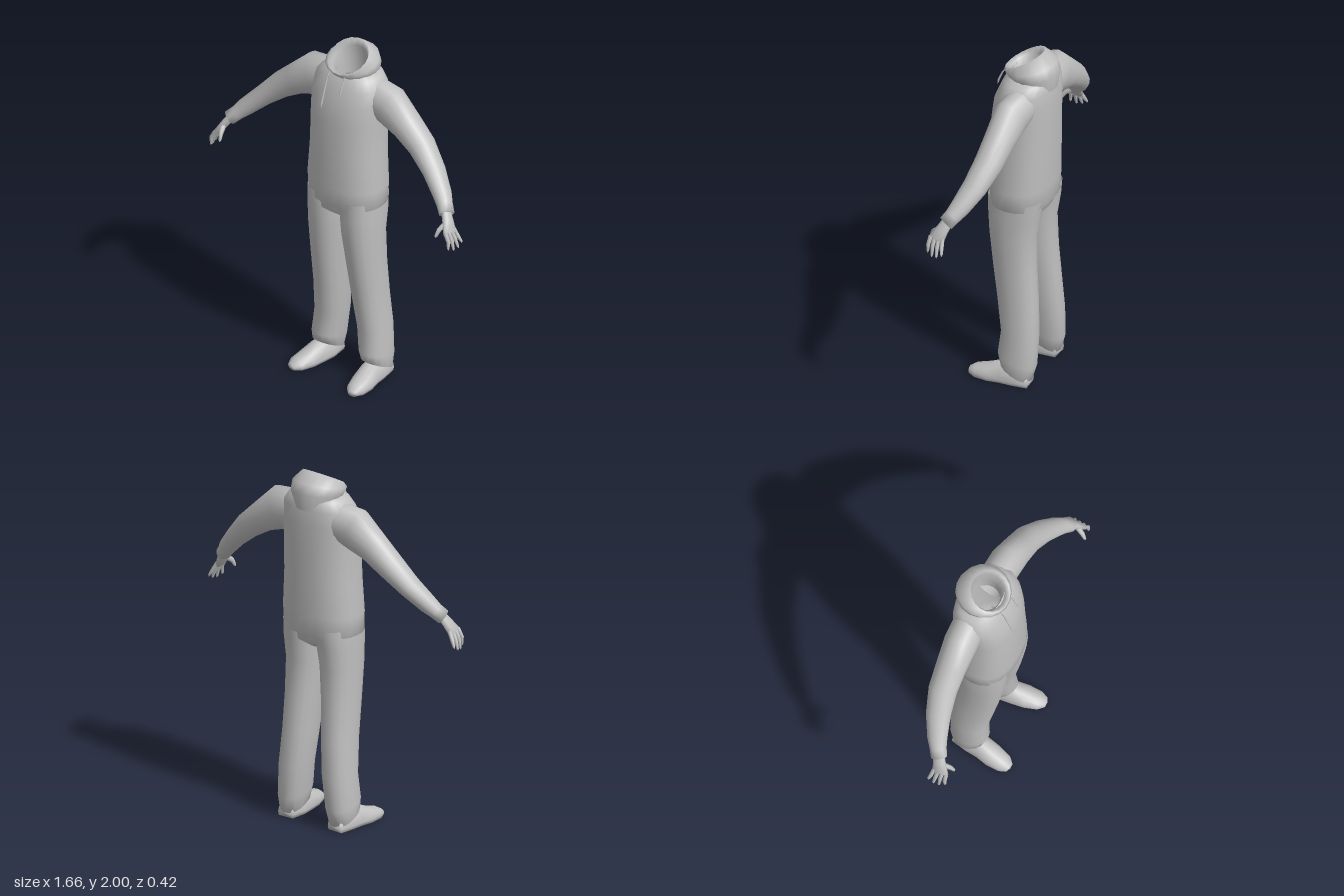
import * as THREE from 'three';

const grey = new THREE.MeshStandardMaterial({ color: 0xbfbfbf, side: THREE.DoubleSide });
grey.name = 'plain grey';

// Smooth skin over rings given as { c: centre, u, v: half-axes }; p < 1 squares the ring.
function loft(name, rings, n = 16, p = 1) {
  const pos = [], idx = [];
  const pw = (s) => Math.sign(s) * Math.abs(s) ** p;
  rings.forEach(({ c, u, v }, i) => {
    for (let j = 0; j < n; j++) {
      const t = (j / n) * Math.PI * 2;
      const q = c.clone().addScaledVector(u, pw(Math.cos(t))).addScaledVector(v, pw(Math.sin(t)));
      pos.push(q.x, Math.max(q.y, 0), q.z);
      if (i === 0) continue;
      const k = (j + 1) % n, a = (i - 1) * n;
      idx.push(a + j, a + n + j, a + k, a + k, a + n + j, a + n + k);
    }
  });
  const g = new THREE.BufferGeometry();
  g.setAttribute('position', new THREE.Float32BufferAttribute(pos, 3));
  g.setIndex(idx);
  g.computeVertexNormals();
  const mesh = new THREE.Mesh(g, grey);
  mesh.name = name;
  return mesh;
}

// Level rings: [x, y, z, half width, half depth, forward slope]
const level = (rows) => rows.map(([x, y, z, rx, rz, s = 0]) => ({
  c: new THREE.Vector3(x, y, z),
  u: new THREE.Vector3(rx, 0, 0),
  v: new THREE.Vector3(0, s * rz, rz),
}));

// Rings square to a path: [x, y, z, half size across, half size along ref]
function along(rows, ref = new THREE.Vector3(0, 0, 1)) {
  const pts = rows.map((r) => new THREE.Vector3(r[0], r[1], r[2]));
  return rows.map((r, i) => {
    const t = pts[Math.min(i + 1, pts.length - 1)].clone().sub(pts[Math.max(i - 1, 0)]).normalize();
    const v = ref.clone().addScaledVector(t, -ref.dot(t)).normalize();
    const u = t.clone().cross(v);
    return { c: pts[i], u: u.multiplyScalar(r[3]), v: v.multiplyScalar(r[4]) };
  });
}

// Arm, hand, trouser leg and shoe of the model's left side
function buildSide(name) {
  const side = new THREE.Group();
  side.name = name;

  side.add(loft('sleeve', along([
    [0.10, 1.745, -0.065, 0.10, 0.09],
    [0.25, 1.715, -0.06, 0.12, 0.092],
    [0.37, 1.637, -0.055, 0.087, 0.083],
    [0.475, 1.557, -0.048, 0.072, 0.078],
    [0.58, 1.458, -0.02, 0.056, 0.068],
    [0.67, 1.368, 0.022, 0.048, 0.054],
    [0.705, 1.33, 0.045, 0.04, 0.046],
    [0.738, 1.297, 0.068, 0.04, 0.043],
    [0.73, 1.305, 0.064, 0.026, 0.03],
  ])));

  const hand = new THREE.Group();
  hand.name = 'hand';
  hand.add(loft('palm', along([
    [0.725, 1.31, 0.06, 0.022, 0.03],
    [0.755, 1.265, 0.08, 0.022, 0.036],
    [0.785, 1.215, 0.10, 0.017, 0.046],
    [0.79, 1.205, 0.102, 0, 0],
  ]), 10));
  for (let k = 0; k < 4; k++) {
    const z = 0.066 + 0.023 * k, tip = 0.05 + 0.03 * k;
    const y = [1.14, 1.122, 1.118, 1.13][k], x = [0.827, 0.828, 0.822, 0.81][k];
    hand.add(loft('finger', along([
      [0.782, 1.225, z, 0.012, 0.012],
      [0.807, 1.18, (z + tip) / 2, 0.011, 0.011],
      [x - 0.004, y + 0.012, tip, 0.007, 0.007],
      [x, y, tip, 0, 0],
    ]), 7));
  }
  hand.add(loft('thumb', along([
    [0.757, 1.265, 0.09, 0.015, 0.018],
    [0.742, 1.232, 0.138, 0.013, 0.014],
    [0.735, 1.20, 0.155, 0.009, 0.009],
    [0.733, 1.188, 0.16, 0, 0],
  ]), 7));
  side.add(hand);

  side.add(loft('trouserLeg', level([
    [0.165, 0.09, -0.05, 0.06, 0.07, 0.5],
    [0.165, 0.07, -0.05, 0.074, 0.088, 0.5],
    [0.16, 0.14, -0.054, 0.078, 0.108, 0.25],
    [0.145, 0.3, -0.062, 0.085, 0.103],
    [0.13, 0.5, -0.042, 0.086, 0.113],
    [0.122, 0.7, -0.02, 0.092, 0.12],
    [0.113, 0.9, -0.005, 0.102, 0.13],
    [0.109, 1.03, -0.012, 0.108, 0.146],
    [0.108, 1.13, -0.015, 0.106, 0.152],
  ]), 16, 0.9));

  side.add(loft('shoe', along([
    [0.163, 0.02, -0.138, 0, 0],
    [0.165, 0.02, -0.13, 0.05, 0.06],
    [0.168, 0.02, -0.04, 0.064, 0.09],
    [0.175, 0.02, 0.03, 0.062, 0.09],
    [0.188, 0.02, 0.10, 0.064, 0.058],
    [0.20, 0.02, 0.17, 0.052, 0.038],
    [0.208, 0.018, 0.205, 0.028, 0.018],
    [0.209, 0.018, 0.211, 0, 0],
  ], new THREE.Vector3(0, 1, 0)), 14));
  return side;
}

export function createModel() {
  const model = new THREE.Group();
  model.name = 'hoodedOutfit';

  // Sweatshirt body with a turned-in hem
  model.add(loft('sweatshirt', level([
    [0, 1.13, -0.015, 0.20, 0.15],
    [0, 1.09, -0.015, 0.224, 0.165],
    [0, 1.2, -0.015, 0.228, 0.17],
    [0, 1.4, -0.02, 0.213, 0.172],
    [0, 1.6, -0.025, 0.213, 0.168],
    [0, 1.72, -0.035, 0.218, 0.16],
    [0, 1.8, -0.048, 0.21, 0.14],
    [0, 1.85, -0.055, 0.17, 0.125],
    [0, 1.875, -0.055, 0.12, 0.10],
  ]), 24, 0.87));

  // Lowered hood: outer shell, tilted rim, then the lining down to the neck
  model.add(loft('hood', level([
    [0, 1.8, -0.085, 0.11, 0.113],
    [0, 1.872, -0.07, 0.143, 0.138, -0.15],
    [0, 1.912, -0.05, 0.147, 0.14, -0.25],
    [0, 1.942, -0.018, 0.112, 0.102, -0.57],
    [0, 1.915, -0.03, 0.097, 0.09, -0.4],
    [0, 1.85, -0.05, 0.087, 0.085, -0.1],
    [0, 1.77, -0.05, 0.085, 0.08],
  ]), 18));

  // Trouser seat joining the legs
  model.add(loft('trouserSeat', level([
    [0, 0.99, -0.012, 0, 0],
    [0, 1.0, -0.012, 0.06, 0.09],
    [0, 1.04, -0.012, 0.19, 0.143],
    [0, 1.14, -0.015, 0.208, 0.155],
  ]), 20, 0.87));

  // Hood cords, one longer than the other
  for (const [x, end, z] of [[-0.055, 1.675, 0.146], [0.05, 1.76, 0.122]]) {
    model.add(loft('cord', along([
      [x, 1.88, 0.068, 0.004, 0.004],
      [x, 1.84, 0.094, 0.005, 0.005],
      [x, end + 0.03, z - 0.007, 0.007, 0.006],
      [x, end, z, 0.002, 0.002],
    ]), 6));
  }

  const right = buildSide('rightSide');
  right.scale.x = -1;
  model.add(buildSide('leftSide'), right);
  return model;
}
